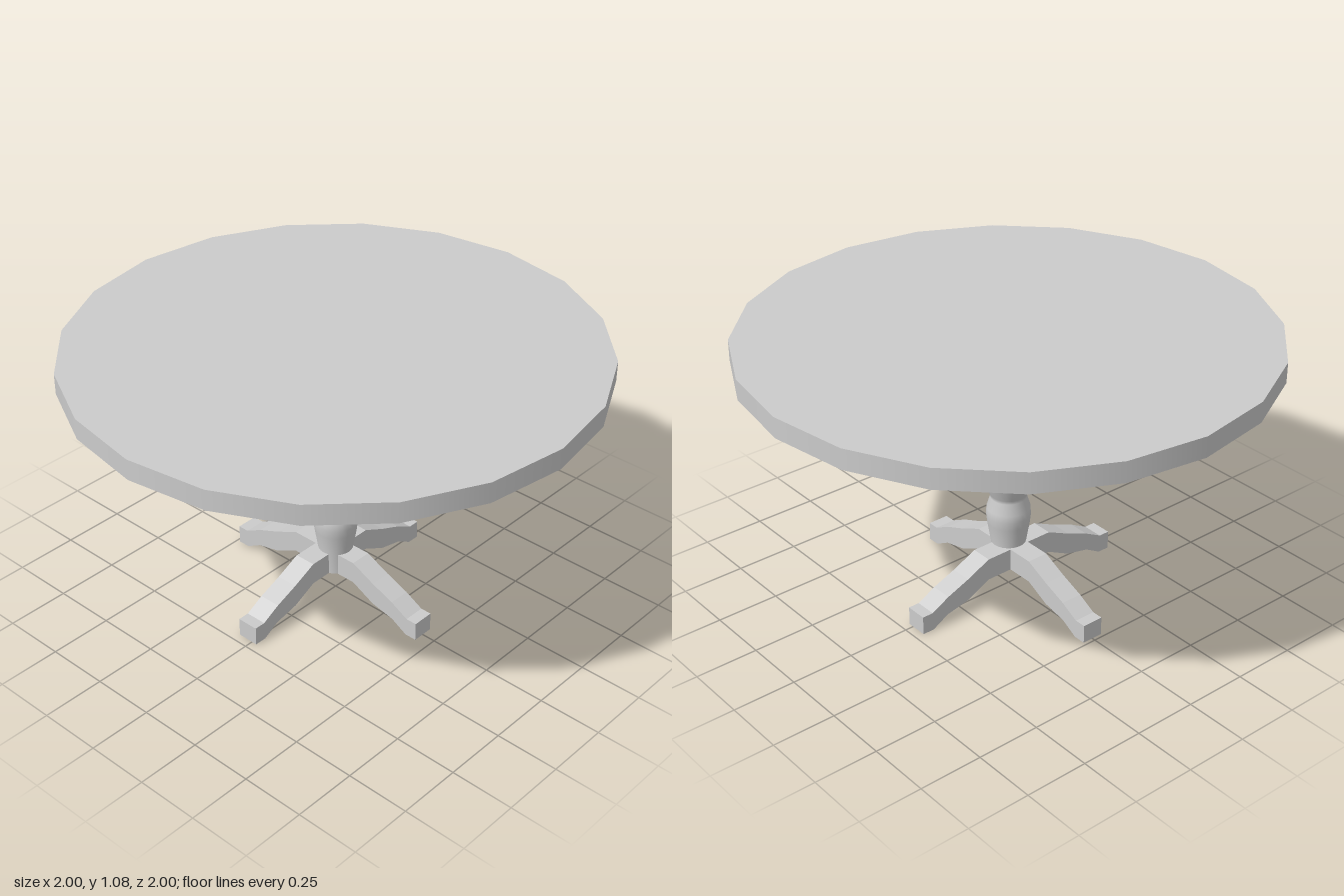
import * as THREE from 'three';

const grey = new THREE.MeshStandardMaterial({ color: 0xcccccc });

function addMesh(parent, name, geometry) {
  const mesh = new THREE.Mesh(geometry, grey);
  mesh.name = name;
  parent.add(mesh);
  return mesh;
}

const toPoints = (list) => list.map(([x, y]) => new THREE.Vector2(x, y));

export function createModel() {
  const table = new THREE.Group();
  table.name = 'pedestalTable';

  // Twenty-sided round top
  addMesh(table, 'tableTop', new THREE.CylinderGeometry(1, 1, 0.08, 20)).position.y = 1.04;

  // Turned column with two bulges
  const columnProfile = toPoints([
    [0.067, 0.111], [0.068, 0.2], [0.082, 0.285], [0.086, 0.32], [0.084, 0.35],
    [0.07, 0.395], [0.072, 0.41], [0.095, 0.46], [0.098, 0.485], [0.095, 0.51],
    [0.07, 0.55], [0.067, 0.57], [0.067, 1.0],
  ]);
  addMesh(table, 'column', new THREE.LatheGeometry(columnProfile, 24));
  const underside = addMesh(table, 'columnUnderside', new THREE.CircleGeometry(0.067, 24));
  underside.rotation.x = Math.PI / 2;
  underside.position.y = 0.111;

  // Four-legged base, set slightly off the column's axis
  const base = new THREE.Group();
  base.name = 'base';
  base.position.x = -0.021;
  table.add(base);

  const half = 0.043; // half the leg thickness
  addMesh(base, 'hub', new THREE.BoxGeometry(2 * half, 0.09, 2 * half)).position.y = 0.155;

  // Leg outline seen from the side, running outwards along x
  const legShape = new THREE.Shape(toPoints([
    [half, 0.11], [0.15, 0.11], [0.25, 0.06], [0.35, 0.038], [0.417, 0], [0.465, 0],
    [0.465, 0.075], [0.42, 0.075], [0.345, 0.115], [0.25, 0.153], [0.15, 0.2], [half, 0.2],
  ]));
  const legGeometry = new THREE.ExtrudeGeometry(legShape, { depth: 2 * half, bevelEnabled: false });
  legGeometry.translate(0, 0, -half);
  ['leftLeg', 'backLeg', 'rightLeg', 'frontLeg'].forEach((name, i) => {
    addMesh(base, name, legGeometry).rotation.y = (i * Math.PI) / 2;
  });

  return table;
}
